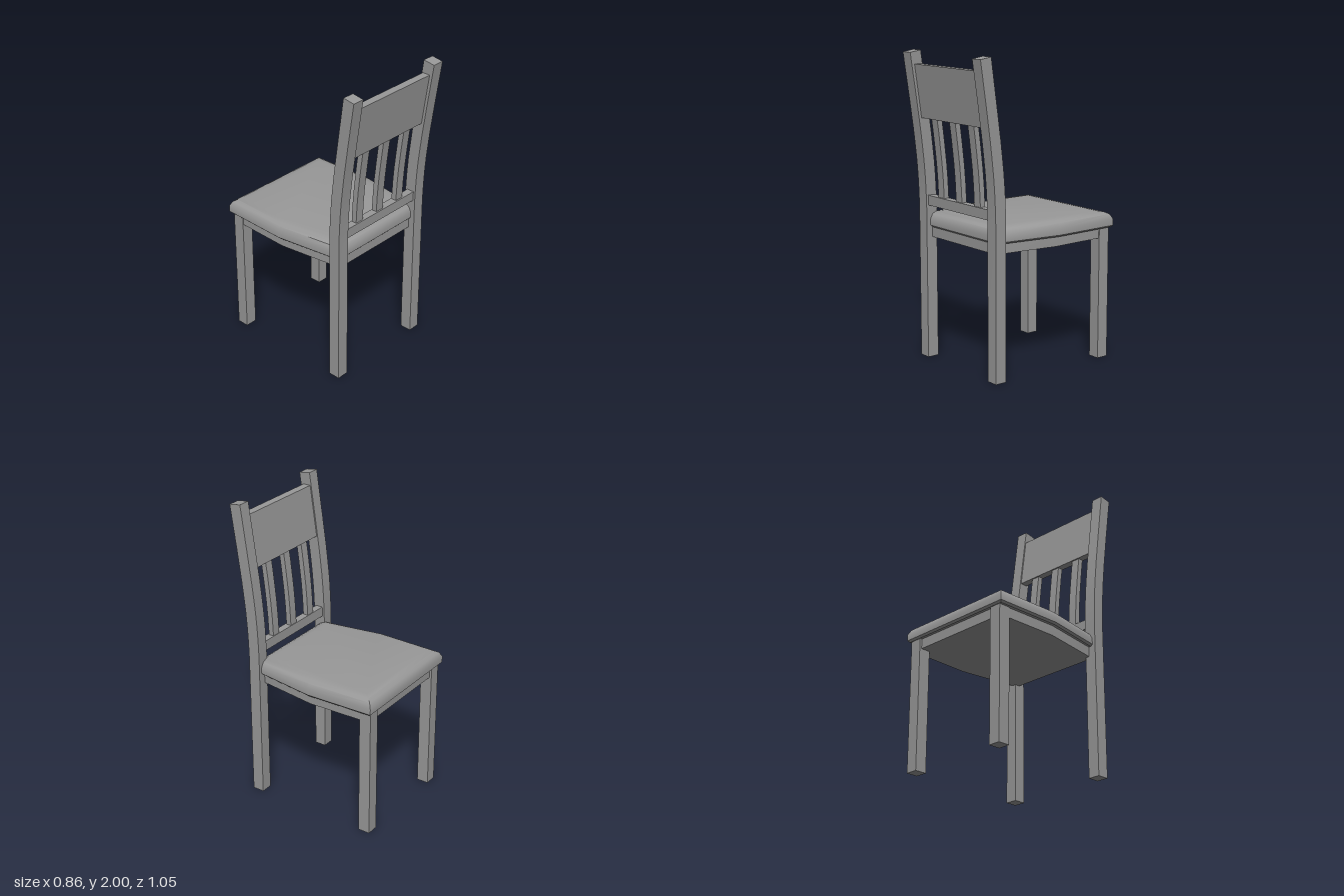
import * as THREE from 'three';
import { toCreasedNormals } from 'three/addons/utils/BufferGeometryUtils.js';

// Front edge of the back posts as [y, z]: straight leg, then a backward curve
const SPINE = [[0, 0.335], [1.0, 0.335], [1.1, 0.338], [1.2, 0.343], [1.3, 0.351],
  [1.4, 0.362], [1.5, 0.374], [1.6, 0.388], [1.7, 0.402], [2.0, 0.445]];

function spineZ(y) {
  let i = 1;
  while (i < SPINE.length - 1 && SPINE[i][0] < y) i++;
  const [a, b] = [SPINE[i - 1], SPINE[i]];
  return a[1] + (b[1] - a[1]) * (y - a[0]) / (b[0] - a[0]);
}

// Piece that follows the curved back from y0 to y1, between x0 and x1
function curvedPiece(x0, x1, y0, y1, inset, depth, tilt = 0) {
  const ys = [y0, ...SPINE.map(p => p[0]).filter(y => y > y0 && y < y1), y1];
  const front = ys.map(y => [spineZ(y) + inset, y]);
  const back = front.map(([z, y], i) => [z + depth, i === ys.length - 1 ? y - tilt : y]).reverse();
  const shape = new THREE.Shape([...front, ...back].map(([z, y]) => new THREE.Vector2(-z, y)));
  const geo = new THREE.ExtrudeGeometry(shape, { depth: x1 - x0, bevelEnabled: false });
  geo.rotateY(Math.PI / 2).translate(x0, 0, 0);
  return toCreasedNormals(geo, 0.4);
}

// Closed solid from stacked rings; each ring insets the half outline [x, z]
function stackedSolid(half, rings) {
  const zMin = half[0][1], zMax = half[half.length - 1][1], mid = (zMin + zMax) / 2;
  const loop = [...half, ...half.map(([x, z]) => [-x, z]).reverse()];
  const n = loop.length, pos = [], idx = [];
  for (const [y, inset] of rings) {
    for (const [x, z] of loop) {
      const sz = (zMax - zMin - 2 * inset) / (zMax - zMin);
      pos.push(x - Math.sign(x) * inset, y, mid + (z - mid) * sz);
    }
  }
  for (let r = 0; r < rings.length - 1; r++) {
    for (let i = 0; i < n; i++) {
      const a = r * n + i, b = r * n + (i + 1) % n;
      idx.push(a, a + n, b, b, a + n, b + n);
    }
  }
  const top = (rings.length - 1) * n;
  for (let i = 1; i < n - 1; i++) {
    idx.push(0, i, i + 1, top, top + i + 1, top + i);
  }
  const geo = new THREE.BufferGeometry();
  geo.setAttribute('position', new THREE.Float32BufferAttribute(pos, 3));
  geo.setIndex(idx);
  return toCreasedNormals(geo, 0.62);
}

export function createModel() {
  const chair = new THREE.Group();
  chair.name = 'chair';
  const grey = new THREE.MeshStandardMaterial({ color: 0x999999 });
  grey.name = 'grey';
  const add = (name, geo) => {
    const mesh = new THREE.Mesh(geo, grey);
    mesh.name = name;
    chair.add(mesh);
    return mesh;
  };

  // Back posts and front legs
  for (const [side, s] of [['left', 1], ['right', -1]]) {
    const x = s * 0.355;
    add(side + 'BackPost', curvedPiece(x - 0.04, x + 0.04, 0, 2, 0, 0.079, 0.012));
    add(side + 'FrontLeg', new THREE.BoxGeometry(0.08, 0.87, 0.08)).position.set(x, 0.435, -0.47);
  }

  // Backrest: head rail, lower rail and three slats
  add('headRail', curvedPiece(-0.316, 0.316, 1.575, 1.915, 0.008, 0.052));
  add('lowerRail', curvedPiece(-0.316, 0.316, 1.01, 1.075, 0.014, 0.05));
  for (const x of [-0.186, 0, 0.186]) {
    add('slat', curvedPiece(x - 0.03, x + 0.03, 1.07, 1.58, 0.018, 0.036));
  }

  // Seat cushion with rounded rim
  add('seat', stackedSolid(
    [[0.421, -0.525], [0.432, -0.065], [0.365, 0.385]],
    [[0.865, 0.012], [0.877, 0], [0.918, 0], [0.95, 0.016], [0.963, 0.04], [0.969, 0.075]]));

  // Seat frame under the cushion
  add('seatFrame', stackedSolid(
    [[0.388, -0.495], [0.4, -0.065], [0.338, 0.37]],
    [[0.8, 0], [0.87, 0]]));

  return chair;
}
